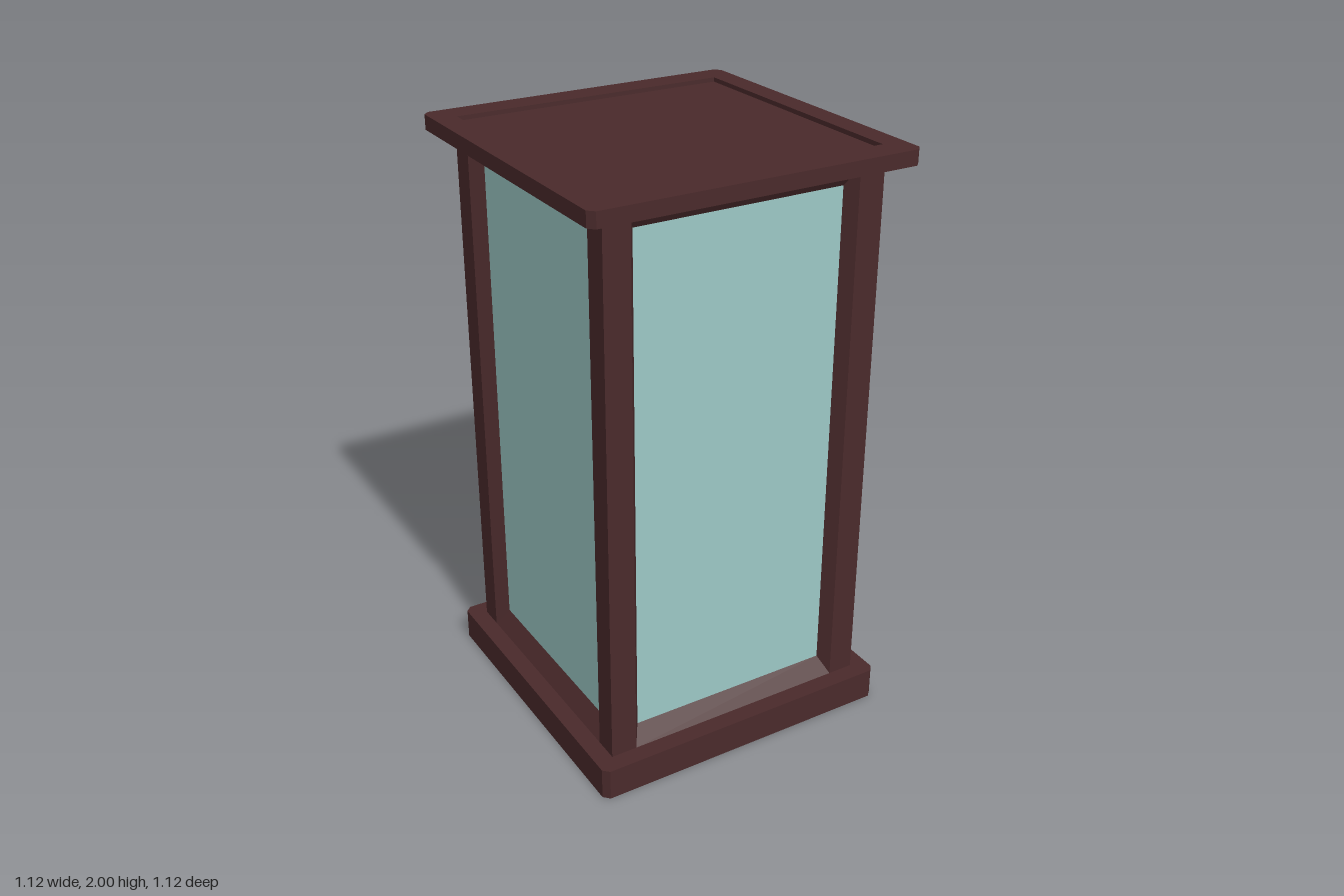
import * as THREE from 'three';

const wood = new THREE.MeshStandardMaterial({ color: 0x4a2a2b });
const glass = new THREE.MeshStandardMaterial({ color: 0x9cc8c6 });

const BASE_TOP = 0.11, CAP_BOTTOM = 1.95, HALF = 0.482;

// Square outline with cut corners
function cutSquare(h, c) {
  const s = new THREE.Shape();
  s.moveTo(-h + c, -h);
  s.lineTo(h - c, -h);
  s.lineTo(h, -h + c);
  s.lineTo(h, h - c);
  s.lineTo(h - c, h);
  s.lineTo(-h + c, h);
  s.lineTo(-h, h - c);
  s.lineTo(-h, -h + c);
  s.closePath();
  return s;
}

// Horizontal slab extruded upward from y
function slab(name, shape, y, height) {
  const g = new THREE.ExtrudeGeometry(shape, { depth: height, bevelEnabled: false });
  g.rotateX(-Math.PI / 2);
  g.translate(0, y, 0);
  const m = new THREE.Mesh(g, wood);
  m.name = name;
  return m;
}

// Sloped surround running from a front rectangle to a smaller one behind it
function surround(outer, inner) {
  const ring = ({ w, y0, y1, z }) => [[-w, y0, z], [w, y0, z], [w, y1, z], [-w, y1, z]];
  const a = ring(outer), b = ring(inner), pos = [];
  for (let i = 0; i < 4; i++) {
    const j = (i + 1) % 4;
    pos.push(...a[i], ...a[j], ...b[j], ...a[i], ...b[j], ...b[i]);
  }
  const g = new THREE.BufferGeometry();
  g.setAttribute('position', new THREE.Float32BufferAttribute(pos, 3));
  g.computeVertexNormals();
  return g;
}

export function createModel() {
  const model = new THREE.Group();
  model.name = 'lantern';

  // Base plinth
  model.add(slab('base', cutSquare(0.543, 0.02), 0, BASE_TOP));

  // Cap: solid slab below a rim around a shallow recess
  const recess = 0.015;
  const rim = cutSquare(0.56, 0.02);
  const hole = new THREE.Path();
  hole.moveTo(-0.482, -0.465);
  hole.lineTo(-0.482, 0.465);
  hole.lineTo(0.482, 0.465);
  hole.lineTo(0.482, -0.465);
  hole.closePath();
  rim.holes.push(hole);
  model.add(slab('cap', cutSquare(0.56, 0.02), CAP_BOTTOM, 0.05 - recess));
  model.add(slab('capRim', rim, 2 - recess, recess));

  // Corner posts
  const innerX = 0.392, innerZ = 0.397;
  const postHeight = CAP_BOTTOM - BASE_TOP;
  for (const sx of [-1, 1]) for (const sz of [-1, 1]) {
    const post = new THREE.Mesh(
      new THREE.BoxGeometry(HALF - innerX, postHeight, HALF - innerZ), wood);
    post.position.set(sx * (HALF + innerX) / 2, BASE_TOP + postHeight / 2, sz * (HALF + innerZ) / 2);
    post.name = 'cornerPost';
    model.add(post);
  }

  // Four sides: sloped surround and glass pane
  ['front', 'left', 'back', 'right'].forEach((side, i) => {
    const w = i % 2 ? innerZ : innerX;
    const outer = { w, y0: BASE_TOP, y1: CAP_BOTTOM, z: HALF };
    const inner = { w: w - 0.029, y0: 0.17, y1: 1.886, z: 0.44 };
    const group = new THREE.Group();
    group.name = side + 'Window';
    group.rotation.y = i * Math.PI / 2;

    const frame = new THREE.Mesh(surround(outer, inner), wood);
    frame.name = side + 'Frame';
    const pane = new THREE.Mesh(
      new THREE.PlaneGeometry(inner.w * 2, inner.y1 - inner.y0), glass);
    pane.position.set(0, (inner.y0 + inner.y1) / 2, inner.z);
    pane.name = side + 'Pane';
    group.add(frame, pane);
    model.add(group);
  });

  return model;
}
